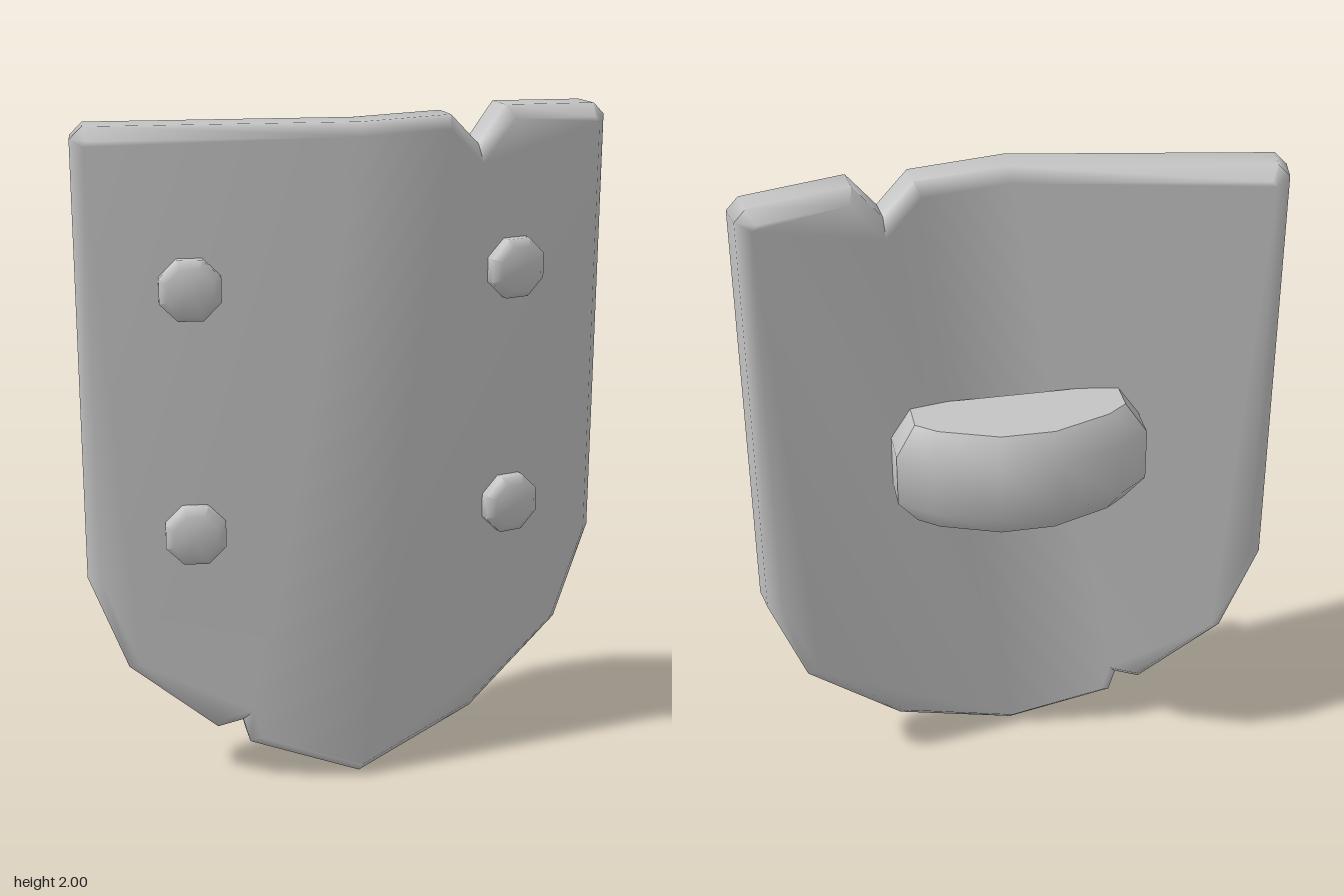
import * as THREE from 'three';

const metal = new THREE.MeshStandardMaterial({ color: 0xc4c4c4 });
metal.name = 'grey metal';

// Area-weighted normals that stay sharp where faces meet above the crease angle
function crease(geometry, angle) {
  const g = geometry.index ? geometry.toNonIndexed() : geometry;
  const p = g.attributes.position, faces = [], shared = new Map(), normals = [];
  const key = (v) => v.toArray().map((n) => Math.round(n * 1e4)).join();
  for (let i = 0; i < p.count; i += 3) {
    const [a, b, c] = [0, 1, 2].map((k) => new THREE.Vector3().fromBufferAttribute(p, i + k));
    const n = b.clone().sub(a).cross(c.clone().sub(a));
    const keys = [a, b, c].map(key);
    faces.push({ n, keys });
    keys.forEach((k) => shared.set(k, [...(shared.get(k) || []), n]));
  }
  for (const { n, keys } of faces) {
    for (const k of keys) {
      const sum = new THREE.Vector3();
      shared.get(k).forEach((m) => { if (m === n || m.angleTo(n) < angle) sum.add(m); });
      normals.push(...sum.normalize().toArray());
    }
  }
  g.setAttribute('normal', new THREE.Float32BufferAttribute(normals, 3));
  return g;
}

// Moves a counter-clockwise outline inwards by d with mitred corners
function inset(points, d) {
  const count = points.length;
  return points.map((q, i) => {
    const normal = (a, b) => new THREE.Vector2(a.y - b.y, b.x - a.x).normalize();
    const n1 = normal(points[(i + count - 1) % count], q);
    const n2 = normal(q, points[(i + 1) % count]);
    return n1.clone().add(n2).multiplyScalar(d / (1 + n1.dot(n2))).add(q);
  });
}

// Closed solid through matching rings, front to back; caps are lists of ring indices
function loft(rings, caps) {
  const count = rings[0].length, index = [], last = (rings.length - 1) * count;
  for (let r = 0; r < rings.length - 1; r++) {
    for (let i = 0; i < count; i++) {
      const a = r * count + i, b = r * count + (i + 1) % count;
      index.push(a, a + count, b + count, a, b + count, b);
    }
  }
  for (const cap of caps) {
    for (const [ring, offset] of [[rings[0], 0], [rings[rings.length - 1], last]]) {
      const flat = cap.map((i) => new THREE.Vector2(ring[i].x, ring[i].y));
      for (const tri of THREE.ShapeUtils.triangulateShape(flat, [])) {
        const [a, b, c] = tri.map((k) => cap[k] + offset);
        if (offset) index.push(a, c, b);
        else index.push(a, b, c);
      }
    }
  }
  const g = new THREE.BufferGeometry();
  g.setAttribute('position', new THREE.Float32BufferAttribute(rings.flat().flatMap((v) => v.toArray()), 3));
  g.setIndex(index);
  return g;
}

const outline = (list) => list.map(([x, y]) => new THREE.Vector2(x, y));
const FOLD = 0.18;

// Folded plate with bevelled rim, a notch in the top and a chip near the tip
function plateGeometry() {
  const rim = outline([
    [0, 0], [0.38, 0.135], [0.675, 0.38], [0.785, 0.67], [0.785, 1.95], [0.75, 1.985],
    [0.455, 2], [0.37, 1.895], [0.28, 1.985], [0, 1.985],
    [-0.75, 1.985], [-0.785, 1.95], [-0.785, 0.67], [-0.675, 0.38],
    [-0.42, 0.17], [-0.345, 0.19], [-0.325, 0.115],
  ]);
  const inner = inset(rim, 0.035);
  // outline, depth at the fold, and sideways shift that squares the rim to the plate
  const layers = [[inner, 0.235, 0.005], [rim, 0.197, 0], [rim, 0.113, -0.015], [inner, 0.075, -0.025]];
  const rings = layers.map(([points, z, shift]) => points.map((q) => {
    const x = Math.abs(q.x) < 0.01 ? 0 : q.x * (1 + shift / 0.785);
    return new THREE.Vector3(x, q.y, z - FOLD * Math.abs(x));
  }));
  const right = [0, 1, 2, 3, 4, 5, 6, 7, 8, 9];
  const left = [9, 10, 11, 12, 13, 14, 15, 16, 0];
  return crease(loft(rings, [right, left]), 0.95);
}

// Solid curved grip with bevelled upper and lower edges
function gripGeometry() {
  const outer = outline([
    [-0.37, -0.1], [0.37, -0.1], [0.37, 0.1], [0.28, 0.17], [0.09, 0.24],
    [-0.09, 0.24], [-0.28, 0.17], [-0.37, 0.1],
  ]);
  const inner = inset(outer, 0.06);
  const layers = [[inner, 0.165], [outer, 0.08], [outer, -0.08], [inner, -0.165]];
  const rings = layers.map(([points, z]) => points.map((q) => new THREE.Vector3(q.x, q.y, z)));
  const g = loft(rings, [outer.map((_, i) => i)]);
  g.rotateX(-Math.PI / 2);
  return crease(g, 0.7);
}

// Eight-sided rivet head pointing along +z
function rivetGeometry() {
  const profile = outline([[0.094, -0.02], [0.094, 0.025], [0.07, 0.046], [0, 0.048]]);
  const g = new THREE.LatheGeometry(profile, 8);
  g.rotateY(Math.PI / 8);
  g.rotateX(Math.PI / 2);
  return crease(g, 0.95);
}

export function createModel() {
  const group = new THREE.Group();
  group.name = 'shield';
  const add = (geometry, name) => {
    const mesh = new THREE.Mesh(geometry, metal);
    mesh.name = name;
    group.add(mesh);
    return mesh;
  };
  add(plateGeometry(), 'plate');
  add(gripGeometry(), 'grip').position.y = 1.125;

  // Four rivets lying flat on the slanted front
  const rivet = rivetGeometry();
  for (const side of [-1, 1]) {
    for (const [y, level] of [[1.535, 'upper'], [0.81, 'lower']]) {
      const mesh = add(rivet, `${level} ${side > 0 ? 'left' : 'right'} rivet`);
      mesh.position.set(side * 0.48, y, 0.235 - FOLD * 0.48);
      mesh.rotation.y = side * Math.atan(FOLD);
    }
  }
  return group;
}
